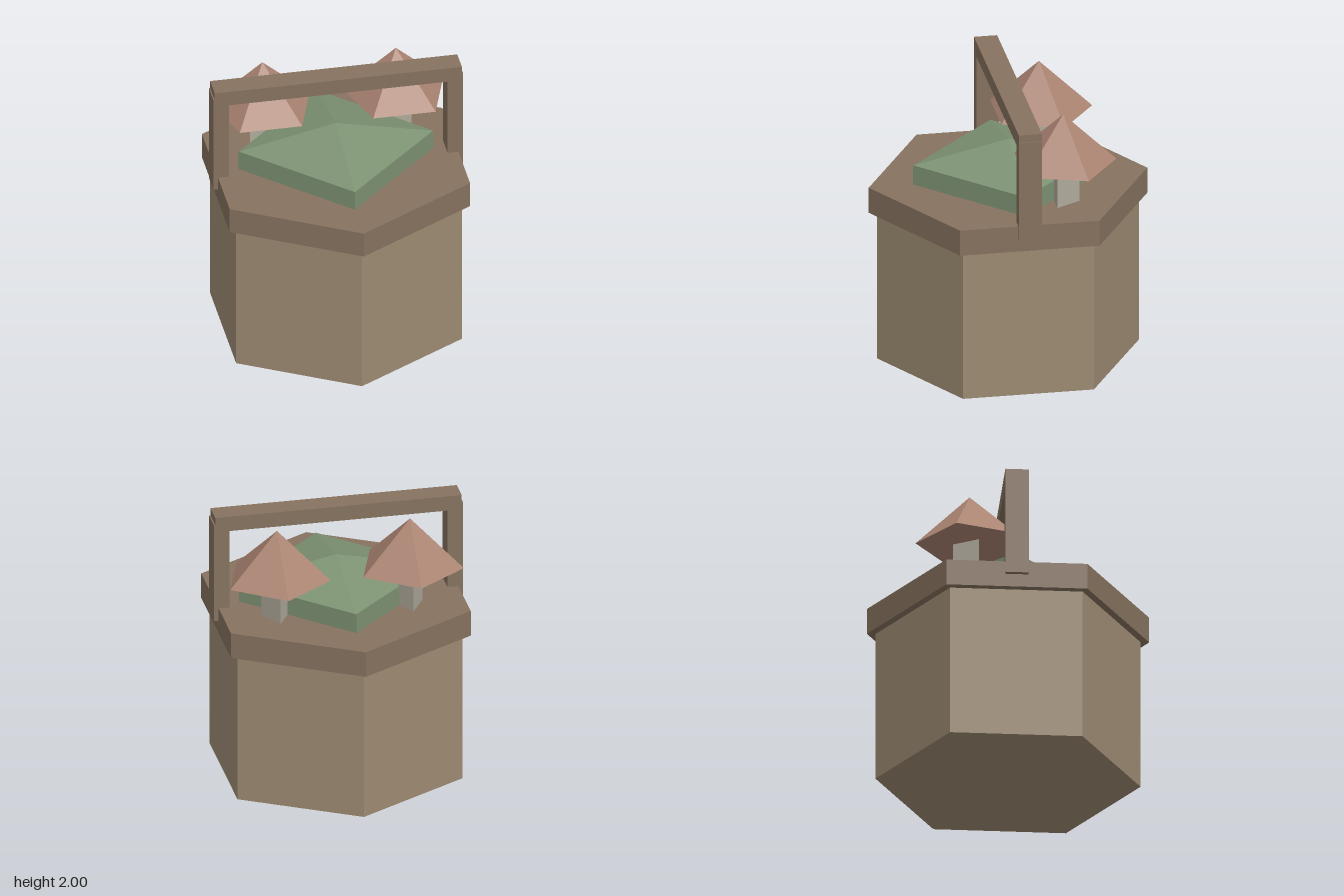
import * as THREE from 'three';

const material = (color) => new THREE.MeshStandardMaterial({ color, flatShading: true });
const wall = material(0x9c8a72);
const wood = material(0x86725f);
const moss = material(0x7d9273);
const cap = material(0xab8472);
const stem = material(0xb0aa9c);

export function createModel() {
  const model = new THREE.Group();
  model.name = 'mushroomBasket';

  const add = (name, geometry, mat, x, y, z, parent = model) => {
    const mesh = new THREE.Mesh(geometry, mat);
    mesh.name = name;
    mesh.position.set(x, y, z);
    parent.add(mesh);
    return mesh;
  };
  // Upright prism (or cone, when top is 0) spanning y0..y1
  const prism = (name, top, bottom, y0, y1, sides, mat, x = 0, z = 0, parent = model) =>
    add(name, new THREE.CylinderGeometry(top, bottom, y1 - y0, sides), mat, x, (y0 + y1) / 2, z, parent);

  // Hexagonal basket with an overhanging rim
  prism('basketBody', 0.925, 0.925, 0, 1.11, 6, wall);
  prism('basketRim', 0.985, 0.985, 1.11, 1.3, 6, wood);

  // Four-sided moss mound: straight skirt and shallow pyramid
  const mound = new THREE.Group();
  mound.name = 'mossMound';
  mound.scale.set(1.03, 1, 1);
  model.add(mound);
  prism('mossBase', 0.67, 0.67, 1.3, 1.445, 4, moss, 0, 0, mound);
  const peak = new THREE.ConeGeometry(0.67, 0.15, 4, 1, true);
  add('mossTop', peak, moss, 0, 1.52, 0, mound);

  // Mushrooms: triangular stem, five-sided cap, one corner to the back
  for (const [side, x] of [['right', -0.462], ['left', 0.485]]) {
    const mushroom = new THREE.Group();
    mushroom.name = side + 'Mushroom';
    mushroom.position.set(x, 0, -0.302);
    mushroom.rotation.y = Math.PI;
    model.add(mushroom);
    prism('stem', 0.115, 0.115, 1.3, 1.62, 3, stem, 0, 0, mushroom);
    prism('cap', 0, 0.377, 1.6, 1.965, 5, cap, 0, 0, mushroom);
  }

  // Handle: two posts and a crossbar
  for (const s of [-1, 1]) {
    add(s > 0 ? 'leftHandlePost' : 'rightHandlePost',
      new THREE.BoxGeometry(0.11, 0.74, 0.162), wood, s * 0.831, 1.575, 0);
  }
  add('handleBar', new THREE.BoxGeometry(1.754, 0.11, 0.164), wood, 0, 1.945, 0);

  return model;
}
